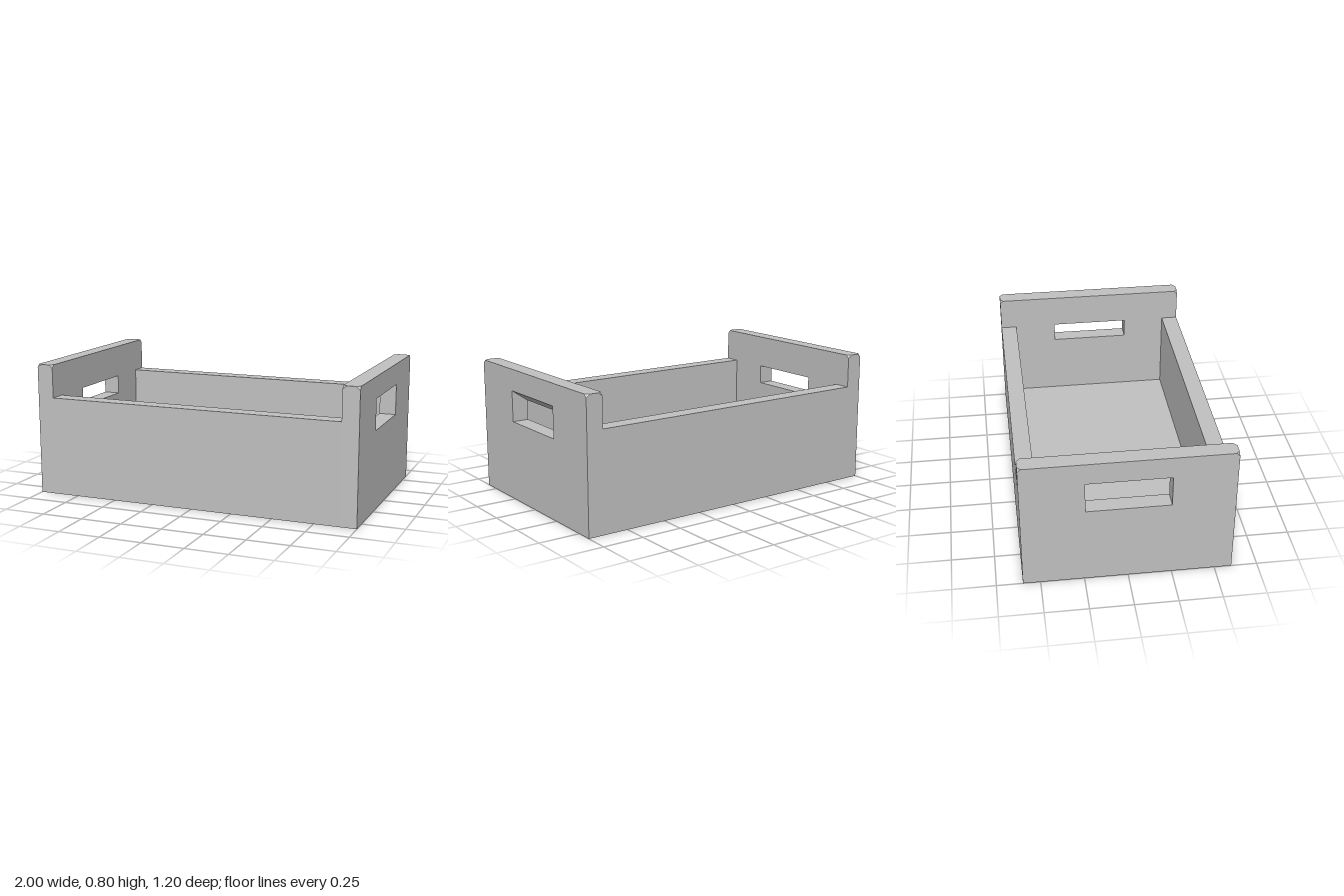
import * as THREE from 'three';

const H = 0.797, WALL_H = 0.597, T = 0.1, HALF_X = 1, HALF_Z = 0.6;
const CUT = 0.02;                                  // size of the nipped top corners
const HOLE = { half: 0.24, low: 0.48, high: 0.667, innerHigh: 0.597 };

// End panel: extruded in x (depth 0 = outer face), handle roof slopes down inward
function endPanelGeometry() {
  const shape = new THREE.Shape([
    [-HALF_Z, 0], [HALF_Z, 0], [HALF_Z, H - CUT], [HALF_Z - CUT, H],
    [-HALF_Z + CUT, H], [-HALF_Z, H - CUT],
  ].map(([a, b]) => new THREE.Vector2(a, b)));
  const { half, low, high, innerHigh } = HOLE;
  shape.holes.push(new THREE.Path([
    [-half, low], [-half, high], [half, high], [half, low],
  ].map(([a, b]) => new THREE.Vector2(a, b))));

  const geo = new THREE.ExtrudeGeometry(shape, { depth: T, steps: 4, bevelEnabled: false });
  const p = geo.attributes.position;
  for (let i = 0; i < p.count; i++) {
    const x = p.getX(i), y = p.getY(i), z = p.getZ(i);
    // slope the handle roof
    if (Math.abs(y - high) < 1e-4) p.setY(i, THREE.MathUtils.lerp(innerHigh, high, z / T));
    // square up the outline between the two faces, so only the corners are nipped
    const atCut = y > H - CUT - 1e-4 && Math.abs(x) > HALF_Z - CUT - 1e-4;
    if (atCut && z > 1e-4 && z < T - 1e-4) {
      p.setX(i, Math.sign(x) * HALF_Z);
      p.setY(i, H);
    }
  }
  geo.computeVertexNormals();
  return geo;
}

export function createModel() {
  const crate = new THREE.Group();
  crate.name = 'crate';
  const grey = new THREE.MeshStandardMaterial({ color: 0xc0c0c0 });
  grey.name = 'plain grey';

  const add = (name, geo, x, y, z) => {
    const mesh = new THREE.Mesh(geo, grey);
    mesh.name = name;
    mesh.position.set(x, y, z);
    crate.add(mesh);
    return mesh;
  };

  // End panels with handle slots
  const panel = endPanelGeometry();
  add('leftEndPanel', panel, HALF_X - T, 0, 0).rotation.y = Math.PI / 2;
  add('rightEndPanel', panel, -HALF_X + T, 0, 0).rotation.y = -Math.PI / 2;

  // Long walls
  const innerX = 2 * (HALF_X - T), innerZ = 2 * (HALF_Z - T);
  const wall = new THREE.BoxGeometry(innerX, WALL_H, T);
  add('frontWall', wall, 0, WALL_H / 2, HALF_Z - T / 2);
  add('backWall', wall, 0, WALL_H / 2, -HALF_Z + T / 2);

  // Floor
  add('floor', new THREE.BoxGeometry(innerX, T, innerZ), 0, T / 2, 0);
  return crate;
}
